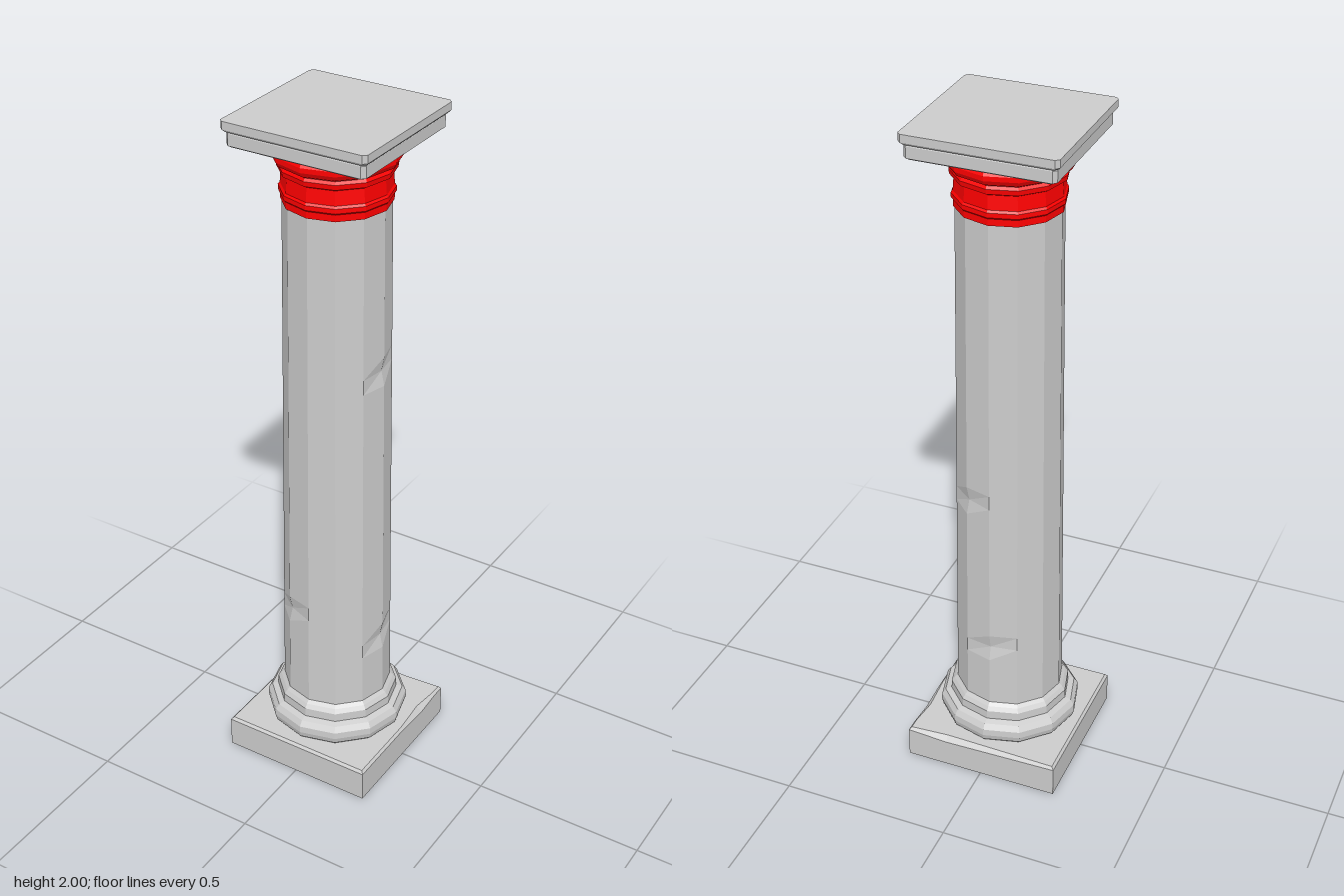
import * as THREE from 'three';

const stone = new THREE.MeshStandardMaterial({ color: 0xcccccc, flatShading: true });
const red = new THREE.MeshStandardMaterial({ color: 0xff0000, flatShading: true });
const SIDES = 12;

function named(name, geometry, material = stone) {
  const mesh = new THREE.Mesh(geometry, material);
  mesh.name = name;
  return mesh;
}

// Turned part from [radius, y] pairs, bottom to top
function turned(profile) {
  return new THREE.LatheGeometry(profile.map(([r, y]) => new THREE.Vector2(r, y)), SIDES);
}

// Solid through rings of [x, y, z] points, closed at both ends
function loft(rings) {
  const pos = [];
  const tri = (...points) => points.forEach((p) => pos.push(...p));
  const n = rings[0].length;
  for (let i = 0; i < n; i++) {
    const j = (i + 1) % n;
    for (let k = 0; k < rings.length - 1; k++) {
      const lo = rings[k], hi = rings[k + 1];
      tri(lo[i], lo[j], hi[j]);
      tri(lo[i], hi[j], hi[i]);
    }
    const bottom = rings[0], top = rings[rings.length - 1];
    tri([0, bottom[0][1], 0], bottom[j], bottom[i]);
    tri([0, top[0][1], 0], top[i], top[j]);
  }
  const geometry = new THREE.BufferGeometry();
  geometry.setAttribute('position', new THREE.Float32BufferAttribute(pos, 3));
  geometry.computeVertexNormals();
  return geometry;
}

// Square ring with clipped corners
function squareRing(h, y, c = 0.01) {
  return [[-h + c, h], [h - c, h], [h, h - c], [h, -h + c], [h - c, -h], [-h + c, -h], [-h, -h + c], [-h, h - c]]
    .map(([x, z]) => [x, y, z]);
}

// Square plinth with a worn bevel, chipped on its left and back top edges
function plinth() {
  const h = 0.232;
  // x, z, extra wear
  const outline = [
    [-h, h, 0], [h, h, 0], [h, 0, 0], [h, -0.11, 0.009], [h, -0.19, 0],
    [h, -h, 0], [0.11, -h, 0.008], [-h, -h, 0],
  ];
  const inset = (v, d) => (Math.abs(v) === h ? v - Math.sign(v) * d : v);
  return loft([
    outline.map(([x, z]) => [x, 0, z]),
    outline.map(([x, z, wear]) => [x, 0.092 - wear, z]),
    outline.map(([x, z, wear]) => [inset(x, 0.007 + wear), 0.1, inset(z, 0.007 + wear)]),
  ]);
}

// Tapered shaft with shallow chips knocked into its edges
function shaft() {
  const y0 = 0.2, y1 = 1.78, rows = 36;
  const geometry = new THREE.CylinderGeometry(0.143, 0.158, y1 - y0, SIDES, rows, true);
  geometry.translate(0, (y0 + y1) / 2, 0);
  const chips = [[90, 1.31], [-30, 0.5], [150, 0.9], [180, 0.44], [90, 0.43]]; // degrees, y
  const p = geometry.attributes.position;
  const step = (y1 - y0) / rows;
  for (let i = 0; i < p.count; i++) {
    const x = p.getX(i), y = p.getY(i), z = p.getZ(i);
    for (const [deg, cy] of chips) {
      const a = THREE.MathUtils.degToRad(deg);
      const onEdge = Math.sin(a) * x + Math.cos(a) * z > 0.99 * Math.hypot(x, z);
      if (onEdge && Math.abs(y - cy) <= step / 2) p.setXYZ(i, x * 0.94, y, z * 0.94);
    }
  }
  return geometry;
}

export function createModel() {
  const group = new THREE.Group();
  group.add(named('plinth', plinth()));

  // Round base: large roll with a smaller step above
  group.add(named('base', turned([
    [0, 0.098], [0.188, 0.098], [0.203, 0.112], [0.208, 0.13], [0.207, 0.15],
    [0.196, 0.166], [0.178, 0.172], [0.177, 0.198], [0.168, 0.21], [0.155, 0.222],
  ])));

  group.add(named('shaft', shaft()));

  // Neck bands, ring and flared roll of the capital
  group.add(named('capital', turned([
    [0, 1.763], [0.147, 1.763], [0.147, 1.782], [0.152, 1.787], [0.152, 1.8], [0.147, 1.806],
    [0.144, 1.846], [0.155, 1.852], [0.157, 1.866], [0.152, 1.874], [0.166, 1.882],
    [0.174, 1.895], [0.174, 1.908], [0.166, 1.922], [0.15, 1.929], [0, 1.929],
  ]), red));

  // Two-step square top
  group.add(named('abacusLower', loft([
    squareRing(0.196, 1.929), squareRing(0.203, 1.934), squareRing(0.203, 1.966), squareRing(0.199, 1.972),
  ])));
  group.add(named('abacusUpper', loft([
    squareRing(0.207, 1.971), squareRing(0.213, 1.978), squareRing(0.213, 2),
  ])));
  return group;
}
